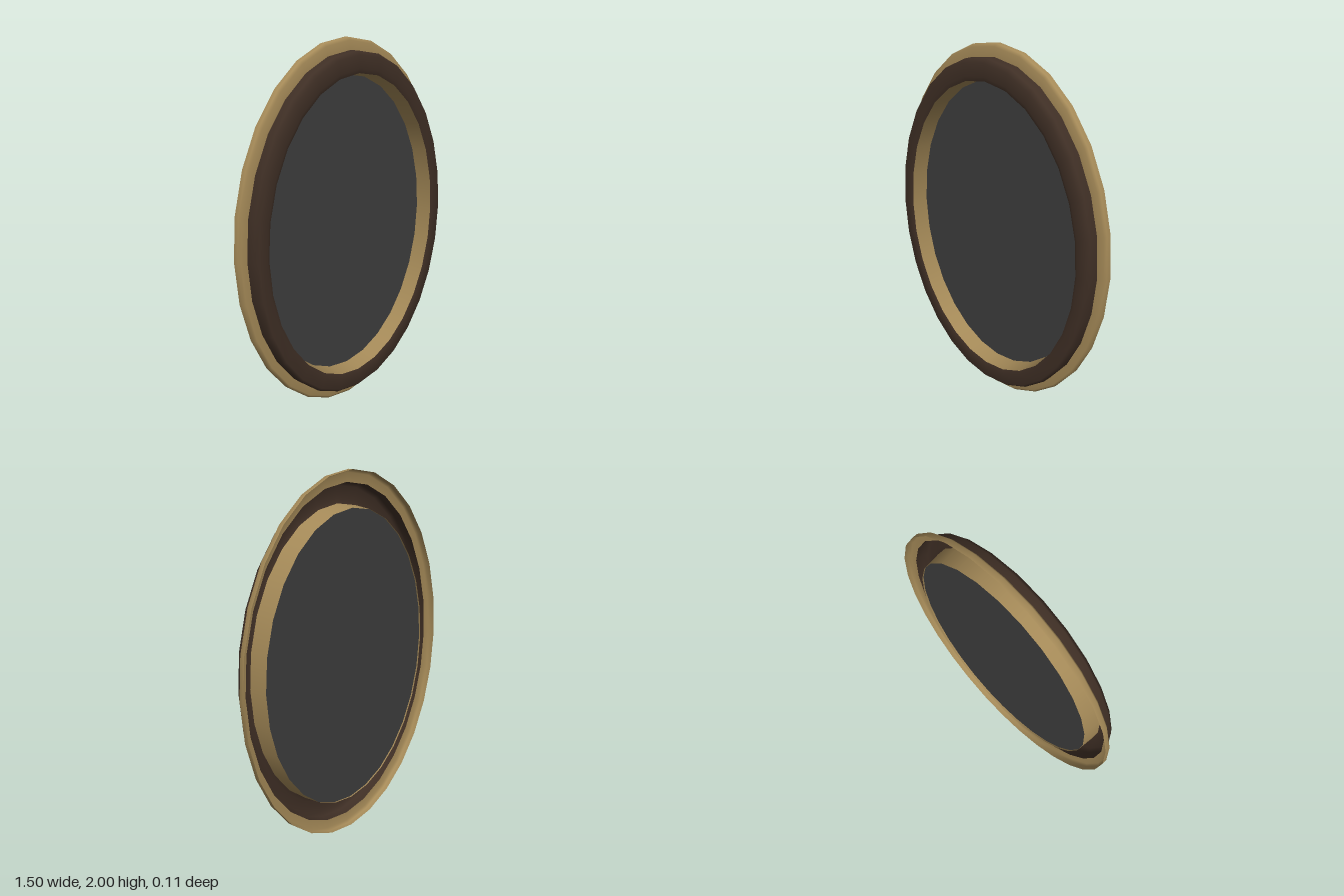
import * as THREE from 'three';

const SEGMENTS = 28;
const WIDTH_RATIO = 0.75; // oval: half width for a half height of 1

export function createModel() {
  const group = new THREE.Group();
  const material = (name, color, side) => {
    const m = new THREE.MeshStandardMaterial({ color, side });
    m.name = name;
    return m;
  };
  const gold = material('antique gold', 0xa58a58, THREE.DoubleSide);
  const wood = material('dark wood', 0x3f2f25, THREE.DoubleSide);
  const glass = material('mirror grey', 0x3e3e3e, THREE.DoubleSide);

  // Sweep a [radius, z] profile round the oval
  const addOval = (name, profile, mat) => {
    const points = profile.map(([r, z]) => new THREE.Vector2(r, z));
    const geometry = new THREE.LatheGeometry(points, SEGMENTS);
    geometry.rotateX(Math.PI / 2);
    geometry.scale(WIDTH_RATIO, 1, 1);
    const mesh = new THREE.Mesh(geometry, mat);
    mesh.name = name;
    mesh.position.y = 1;
    group.add(mesh);
  };

  // The frame is a thin moulding, hollow and open at the back
  addOval('outerRim', [[1, -0.055], [1, -0.028], [0.985, -0.017], [0.937, -0.015]], gold);
  addOval('frameMoulding', [[0.937, -0.015], [0.937, 0.035], [0.918, 0.055], [0.85, 0.055], [0.828, 0.048]], wood);
  addOval('innerLip', [[0.828, 0.048], [0.815, -0.055]], gold);

  // Mirror pane set near the back of the inner lip
  const pane = new THREE.CircleGeometry(0.816, SEGMENTS, Math.PI / 2);
  pane.scale(WIDTH_RATIO, 1, 1);
  const mirror = new THREE.Mesh(pane, glass);
  mirror.name = 'mirrorPane';
  mirror.position.set(0, 1, -0.046);
  group.add(mirror);

  return group;
}
